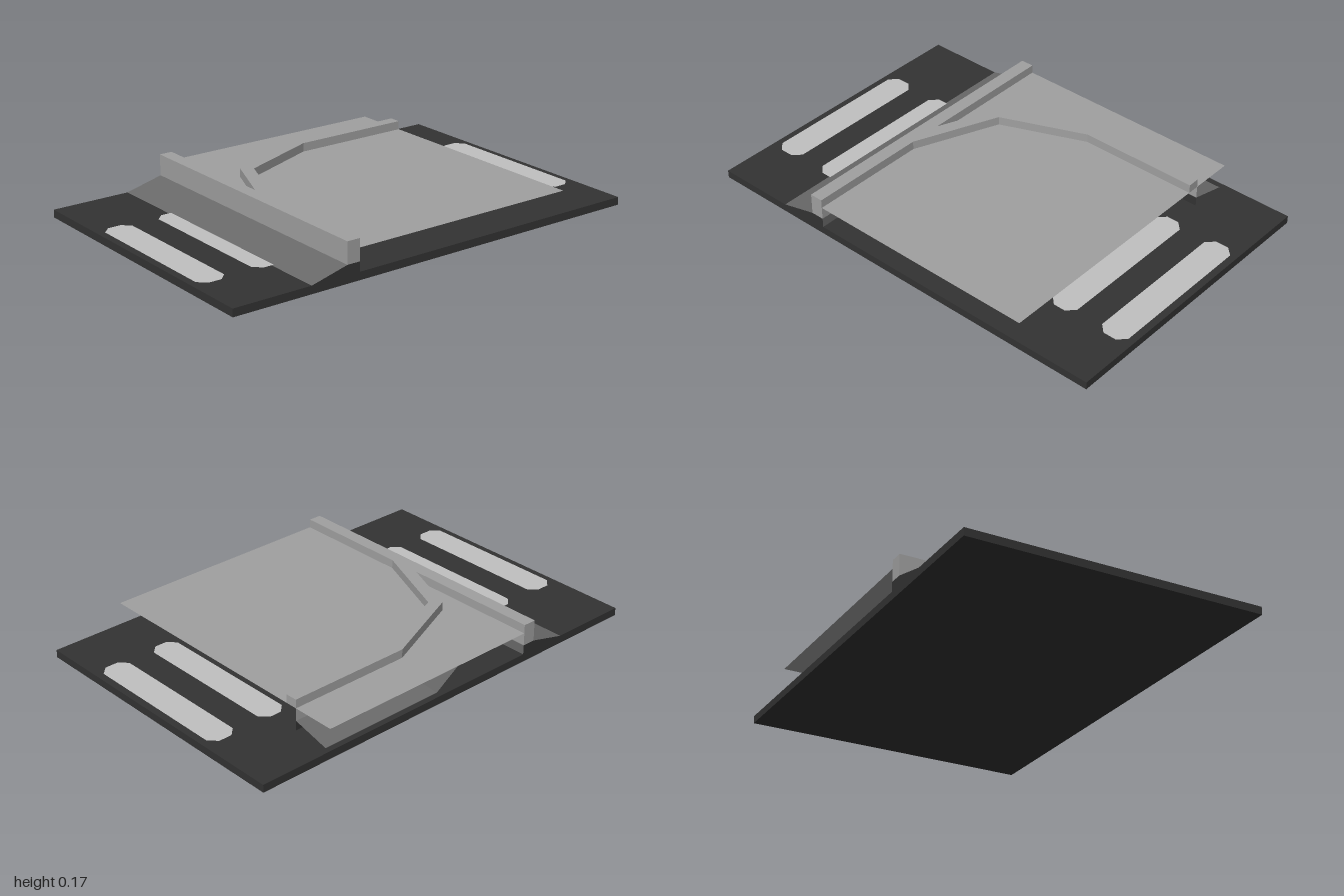
import * as THREE from 'three';

const W = 1.334, BASE = 0.035, FOOT = 0.078, FLOOR = 0.135, TOP = 0.174, BACK = -0.667;

function material(name, color, side = THREE.FrontSide) {
  const m = new THREE.MeshStandardMaterial({ color, side, flatShading: true });
  m.name = name;
  return m;
}

// Strip of quads between two paths of [x, z] points at given heights
function strip(a, ya, b, yb) {
  const pos = [];
  for (let i = 0; i < a.length - 1; i++) {
    const p = [a[i][0], ya, a[i][1]], q = [a[i + 1][0], ya, a[i + 1][1]];
    const r = [b[i][0], yb, b[i][1]], s = [b[i + 1][0], yb, b[i + 1][1]];
    pos.push(...p, ...r, ...q, ...q, ...r, ...s);
  }
  const g = new THREE.BufferGeometry();
  g.setAttribute('position', new THREE.Float32BufferAttribute(pos, 3));
  g.computeVertexNormals();
  return g;
}

export function createModel() {
  const model = new THREE.Group();
  const dark = material('dark base', 0x333333, THREE.DoubleSide);
  const grey = material('grey', 0xa0a0a0, THREE.DoubleSide);
  const slope = material('slope grey', 0x6a6a6a, THREE.DoubleSide);
  const light = material('light marking', 0xc0c0c0);

  const add = (parent, name, geometry, mat, x = 0, y = 0, z = 0) => {
    const mesh = new THREE.Mesh(geometry, mat);
    mesh.name = name;
    mesh.position.set(x, y, z);
    parent.add(mesh);
    return mesh;
  };

  // Base slab
  add(model, 'baseSlab', new THREE.BoxGeometry(W, BASE, 2), dark, 0, BASE / 2, 0);

  // Raised floor, a thin sheet open at the back and sides
  const depth = 0.41 - BACK;
  const floor = new THREE.PlaneGeometry(W, depth).rotateX(-Math.PI / 2);
  add(model, 'raisedFloor', floor, grey, 0, FLOOR, BACK + depth / 2);

  // Front wall and the ramp leading up to it
  add(model, 'frontWall', new THREE.BoxGeometry(W, TOP - FOOT, 0.06), grey, 0, (TOP + FOOT) / 2, 0.44);
  const section = new THREE.Shape([[-0.64, BASE], [-0.47, FOOT], [-0.41, FOOT], [-0.41, BASE]]
    .map(([x, y]) => new THREE.Vector2(x, y)));
  const ramp = new THREE.ExtrudeGeometry(section, { depth: W, bevelEnabled: false });
  ramp.rotateY(Math.PI / 2).translate(-W / 2, 0, 0);
  add(model, 'frontRamp', ramp.scale(1, 1, 1), [dark, slope]);

  // Angled rail across the floor, with its own ramp below
  const outer = [[-0.47, BACK], [-0.47, -0.1], [-0.3, 0.3], [-0.03, 0.41]];
  const inner = [[-0.415, BACK], [-0.415, -0.12], [-0.26, 0.255], [0.12, 0.41]];
  const foot = [[-0.64, BACK], [-0.64, -0.07], [-0.43, 0.43], [-0.094, 0.567]];
  const rail = new THREE.Group();
  rail.name = 'angledRail';
  add(rail, 'railTop', strip(outer, TOP, inner, TOP), grey);
  add(rail, 'railInnerSide', strip(inner, TOP, inner, FLOOR), grey);
  add(rail, 'railOuterSide', strip(outer, FOOT, outer, TOP), grey);
  add(rail, 'railEnd', strip([outer[0], inner[0]], FLOOR, [outer[0], inner[0]], TOP), grey);
  add(rail, 'railRamp', strip(foot, BASE, outer, FOOT), slope);
  add(rail, 'railRampBack', strip(outer, FOOT, outer, BASE), dark);
  model.add(rail);

  // Light markings with cut corners, two at each end of the base
  const marking = (near, far) => {
    const w = 0.37, c = 0.035;
    const s = new THREE.Shape([
      [-w + c, near], [w - c, near], [w, near + c], [w, far - c],
      [w - c, far], [-w + c, far], [-w, far - c], [-w, near + c],
    ].map(([x, y]) => new THREE.Vector2(x, y)));
    return new THREE.ShapeGeometry(s).rotateX(-Math.PI / 2);
  };
  for (const turn of [0, Math.PI]) {
    for (const [near, far] of [[0.59, 0.715], [0.84, 0.97]]) {
      const mesh = add(model, 'baseMarking', marking(near, far), light, 0.04, BASE + 0.002, 0);
      mesh.rotation.y = turn;
    }
  }
  return model;
}
